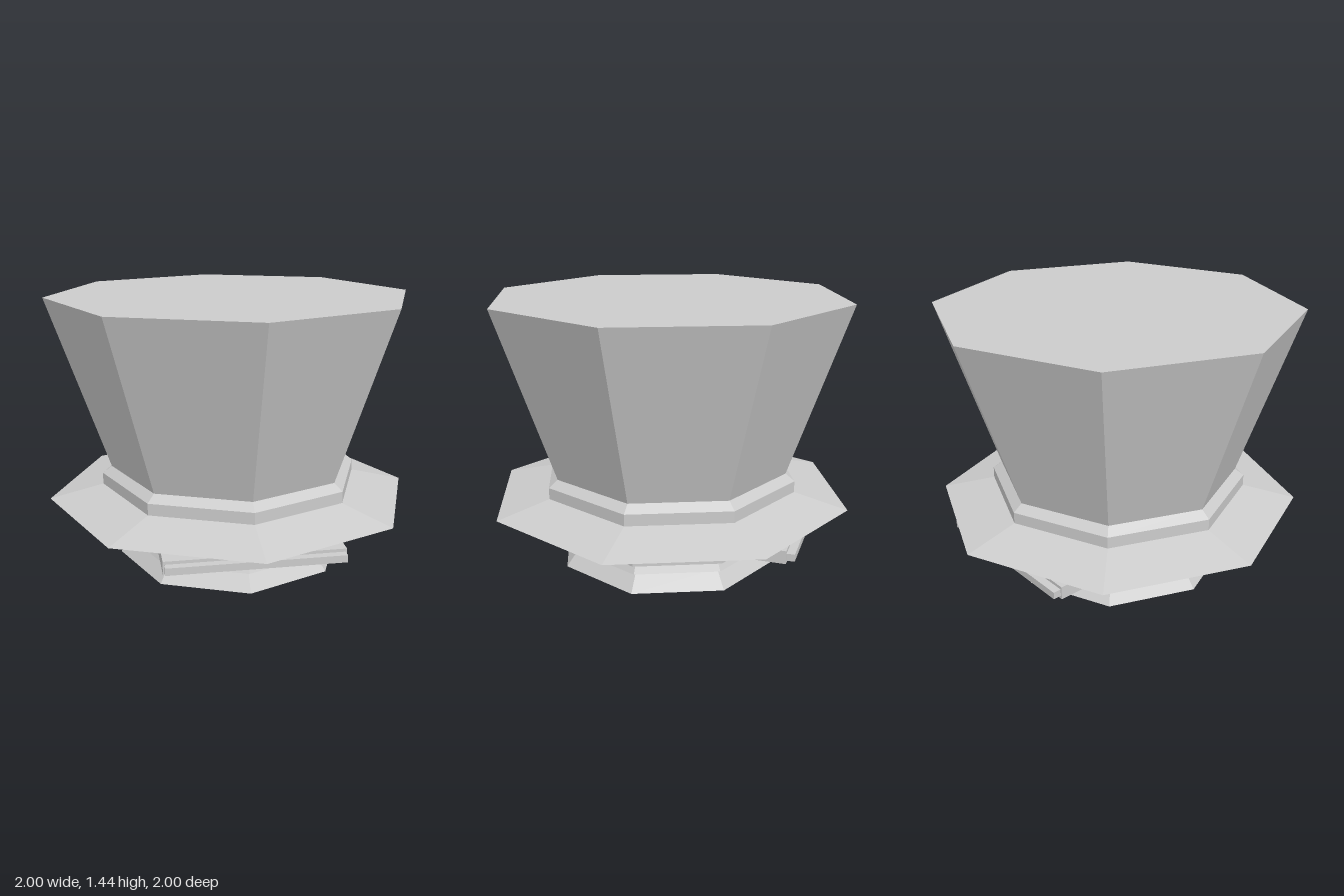
import * as THREE from 'three';

const SIDES = 8;

export function createModel() {
  const group = new THREE.Group();
  const material = new THREE.MeshStandardMaterial({ color: 0xcccccc, flatShading: true });

  const add = (name, geometry, x, y, z) => {
    const mesh = new THREE.Mesh(geometry, material);
    mesh.name = name;
    mesh.position.set(x, y, z);
    group.add(mesh);
  };

  // Octagonal tiers, from the ground up: name, bottom y, top y, bottom radius, top radius
  const tiers = [
    ['foot', 0, 0.09, 0.625, 0.555],
    ['lowerCollar', 0.09, 0.142, 0.585, 0.555],
    ['neck', 0.142, 0.342, 0.6, 0.6],
    ['brim', 0.342, 0.412, 1.0, 0.71],
    ['band', 0.412, 0.474, 0.71, 0.71],
    ['bandBevel', 0.474, 0.512, 0.71, 0.66],
    ['crown', 0.512, 1.44, 0.66, 0.978],
  ];
  for (const [name, y0, y1, r0, r1] of tiers) {
    add(name, new THREE.CylinderGeometry(r1, r0, y1 - y0, SIDES), 0, (y0 + y1) / 2, 0);
  }

  // Matching ledges at front and back, each with a thinner lip
  for (const [side, s] of [['front', 1], ['back', -1]]) {
    add(side + 'Ledge', new THREE.BoxGeometry(0.91, 0.07, 0.31), 0, 0.24, s * 0.603);
    add(side + 'LedgeLip', new THREE.BoxGeometry(0.895, 0.038, 0.042), 0, 0.24, s * 0.779);
  }
  return group;
}
